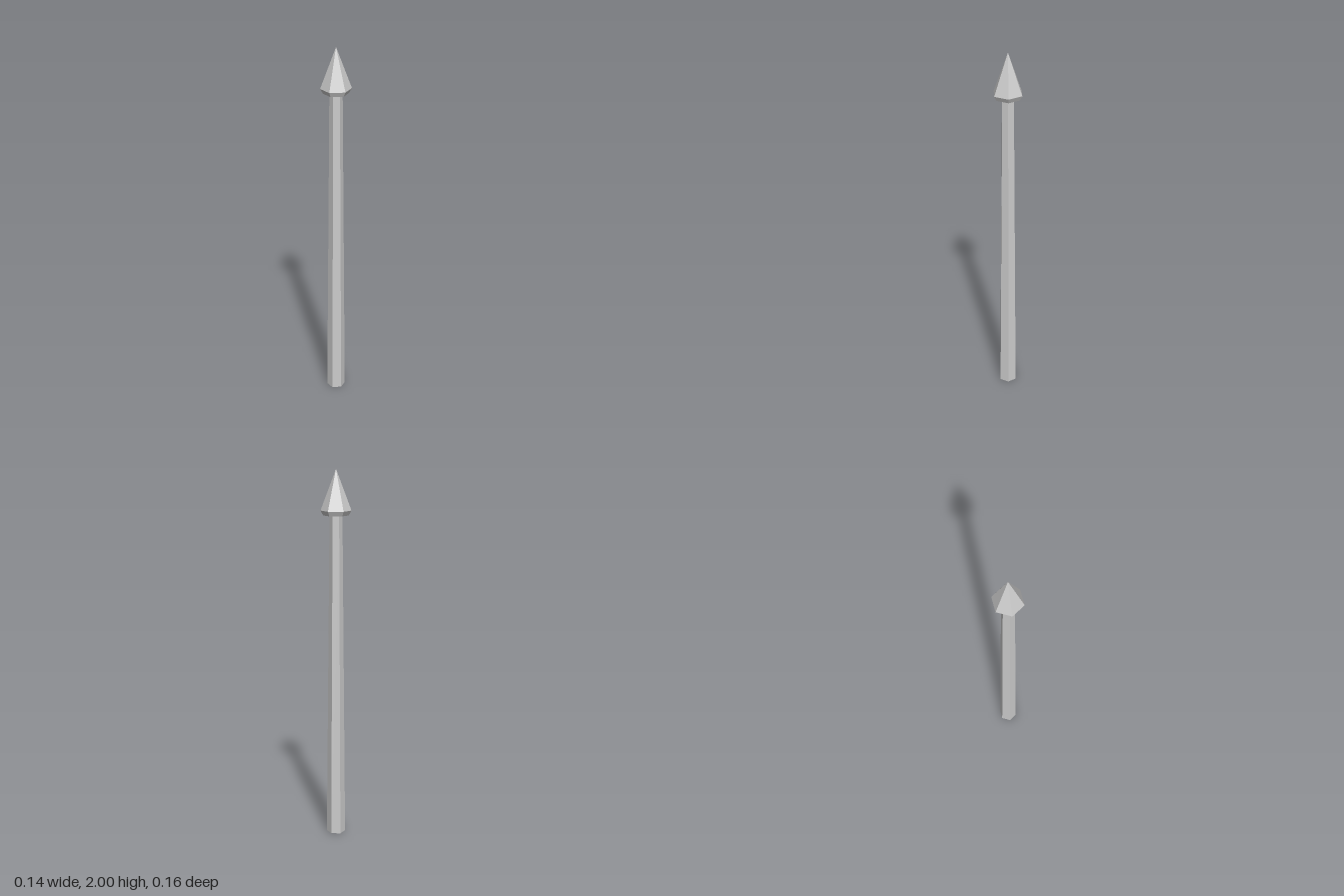
import * as THREE from 'three';

const SIDES = 6;

export function createModel() {
  const group = new THREE.Group();
  group.name = 'spikedPost';
  const material = new THREE.MeshStandardMaterial({ color: 0xcccccc, flatShading: true });

  // Six-sided section standing on y0, with a corner facing the front
  const addSection = (name, rTop, rBottom, y0, y1, open = false) => {
    const geometry = rTop === 0
      ? new THREE.ConeGeometry(rBottom, y1 - y0, SIDES, 1, open)
      : new THREE.CylinderGeometry(rTop, rBottom, y1 - y0, SIDES, 1, open);
    const mesh = new THREE.Mesh(geometry, material);
    mesh.name = name;
    mesh.position.y = (y0 + y1) / 2;
    group.add(mesh);
  };

  // Tapered shaft
  addSection('shaft', 0.034, 0.051, 0, 1.76);
  // Flared collar under the point, with a flat underside
  addSection('headCollar', 0.081, 0.067, 1.76, 1.785);
  // Pointed tip
  addSection('headPoint', 0, 0.081, 1.785, 2, true);

  return group;
}
